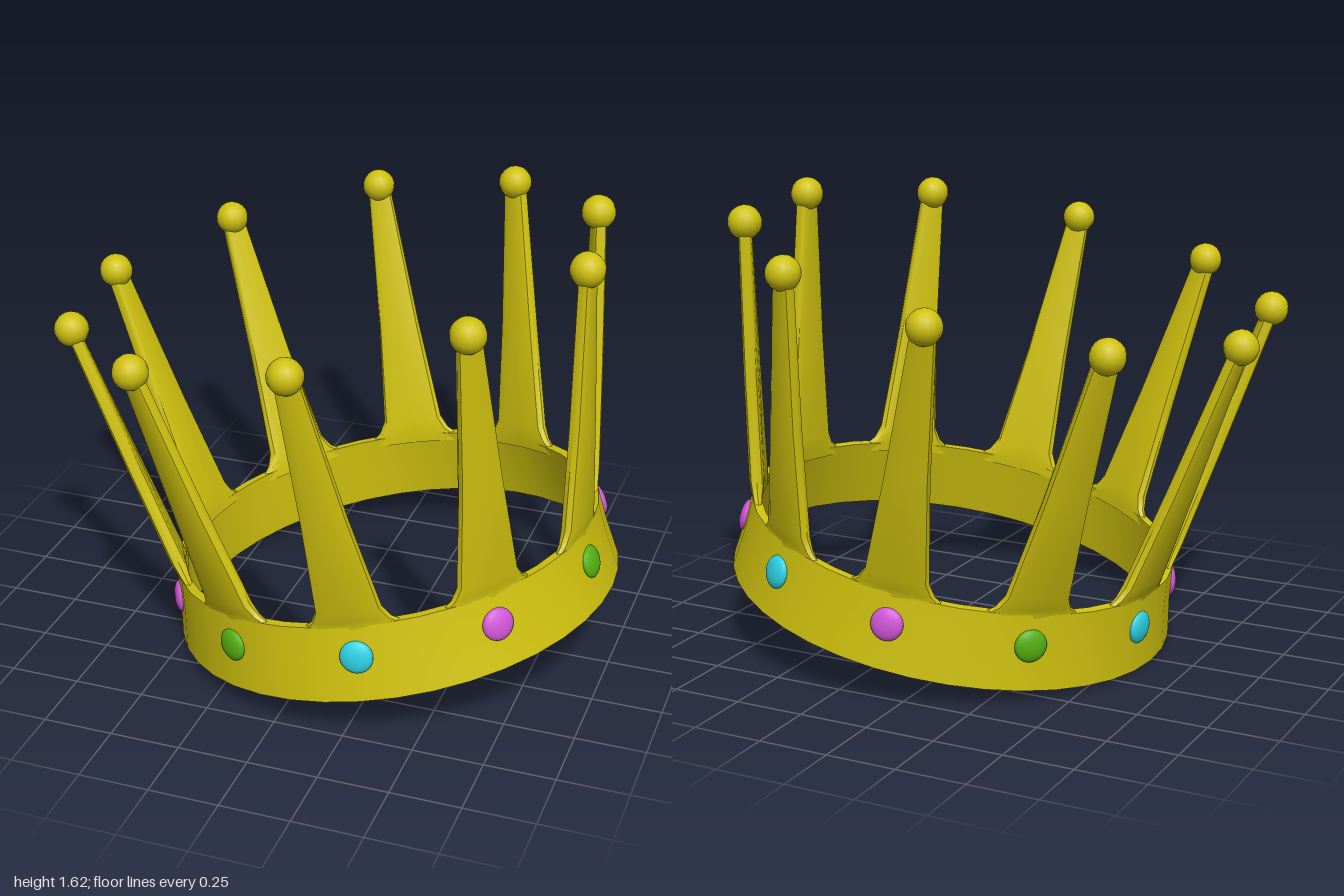
import * as THREE from 'three';
import { toCreasedNormals } from 'three/addons/utils/BufferGeometryUtils.js';

const COUNT = 10;          // spikes, each with a gem below
const FIRST = 0.14;        // angle of the first spike
const mat = (name, color) => {
  const m = new THREE.MeshStandardMaterial({ color });
  m.name = name;
  return m;
};

// Flat tapering spike, bent round the band: rows of [height, radius, half width, half thickness]
function spikeGeometry() {
  const rows = [
    [0.235, 0.760, 0.185, 0.017],
    [0.265, 0.760, 0.165, 0.018],
    [0.285, 0.763, 0.138, 0.022],
    [0.33, 0.771, 0.114, 0.029],
    [0.70, 0.840, 0.079, 0.028],
    [1.22, 0.934, 0.043, 0.024],
  ];
  const sides = 12, pos = [], index = [];
  const soft = (v) => Math.sign(v) * Math.abs(v) ** 0.55;
  rows.forEach(([y, r, hw, ht], i) => {
    for (let j = 0; j < sides; j++) {
      const p = (j / sides) * Math.PI * 2;
      const a = (hw * soft(Math.cos(p))) / r;
      const rad = r + ht * soft(Math.sin(p));
      pos.push(rad * Math.cos(a), y, rad * Math.sin(a));
      if (i === rows.length - 1) continue;
      const k = (j + 1) % sides;
      const b = i * sides + j, c = i * sides + k;
      index.push(b, c, c + sides, b, c + sides, b + sides);
    }
  });
  const g = new THREE.BufferGeometry();
  g.setAttribute('position', new THREE.Float32BufferAttribute(pos, 3));
  g.setIndex(index);
  return toCreasedNormals(g, 0.7);
}

export function createModel() {
  const gold = mat('gold', 0xcfc10e);
  const green = mat('green gem', 0x55b010);
  const magenta = mat('magenta gem', 0xd055d8);
  const cyan = mat('cyan gem', 0x2cd0e2);
  const gemColours = [green, magenta, cyan, green, magenta, cyan, green, magenta, cyan, magenta];

  const model = new THREE.Group();
  model.name = 'crown';
  const tilted = new THREE.Group();
  tilted.name = 'tiltedCrown';
  tilted.rotation.z = 0.193;
  tilted.position.set(0.2, 0.156, -0.015);
  model.add(tilted);

  const add = (parent, name, geometry, material) => {
    const mesh = new THREE.Mesh(geometry, material);
    mesh.name = name;
    parent.add(mesh);
    return mesh;
  };

  // Band: closed ring profile, leaning slightly inwards
  const profile = [[0.812, 0], [0.79, 0.14], [0.777, 0.267], [0.744, 0.267], [0.765, 0.14], [0.788, 0], [0.812, 0]]
    .map(([r, y]) => new THREE.Vector2(r, y));
  add(tilted, 'band', toCreasedNormals(new THREE.LatheGeometry(profile, 40), 0.7), gold);

  // Spikes with ball tips and a gem under each
  const spike = spikeGeometry();
  const ball = new THREE.SphereGeometry(0.061, 14, 10);
  const gem = new THREE.SphereGeometry(0.058, 18, 12);
  for (let i = 0; i < COUNT; i++) {
    const section = new THREE.Group();
    section.name = 'section' + (i + 1);
    section.rotation.y = -(FIRST + (i / COUNT) * Math.PI * 2);
    tilted.add(section);
    add(section, 'spike', spike, gold);
    add(section, 'ballTip', ball, gold).position.set(0.938, 1.244, 0);
    const g = add(section, 'gem', gem, gemColours[i]);
    g.position.set(0.788, 0.158, 0);
    g.rotation.z = 0.13;
    g.scale.x = 0.4;
  }
  return model;
}
